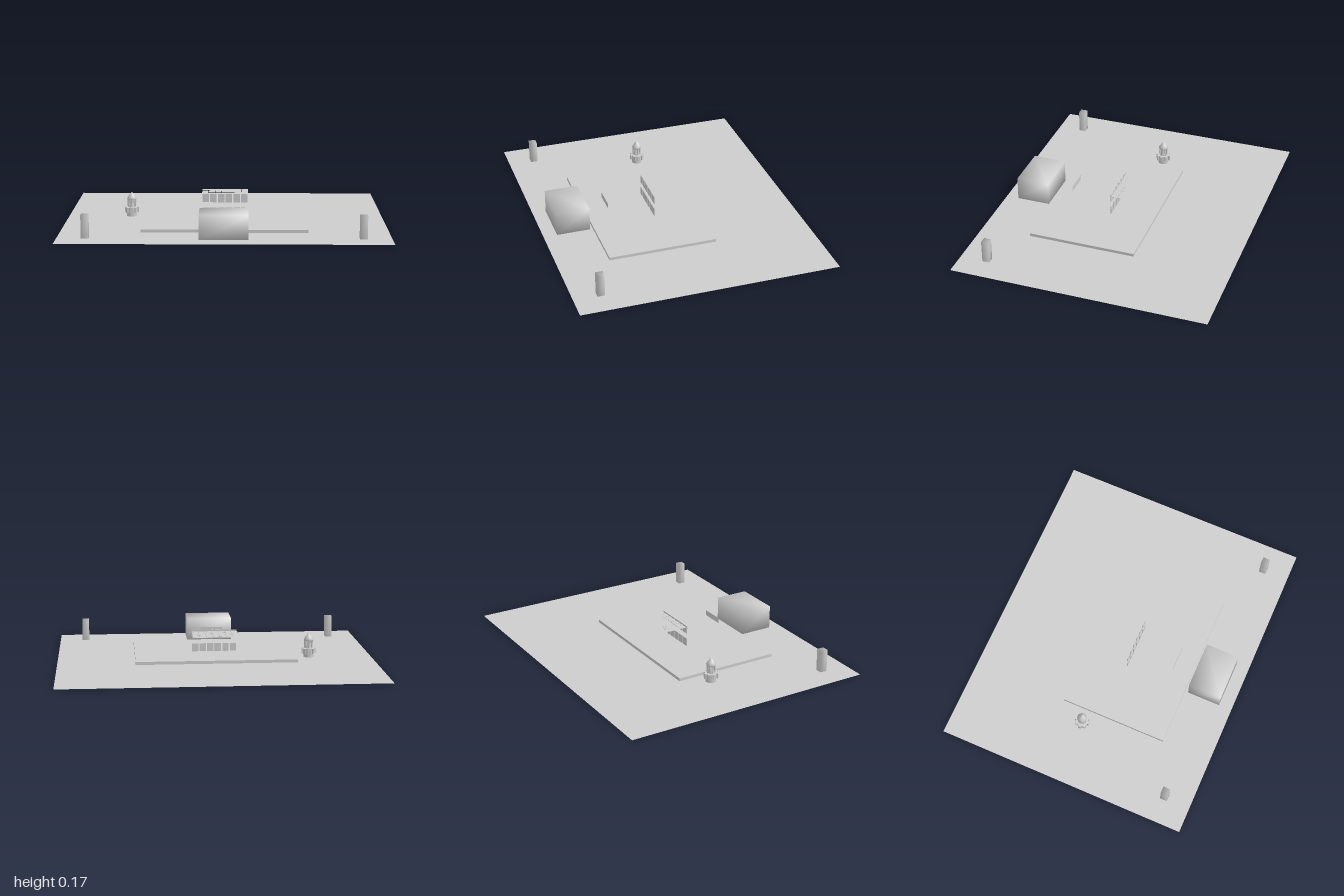
import * as THREE from 'three';
import { mergeVertices } from 'three/addons/utils/BufferGeometryUtils.js';

const grey = new THREE.MeshStandardMaterial({ color: 0xcccccc, side: THREE.DoubleSide });
grey.name = 'light grey';

function part(parent, name, geometry, x = 0, y = 0, z = 0) {
  const mesh = new THREE.Mesh(geometry, grey);
  mesh.name = name;
  mesh.position.set(x, y, z);
  parent.add(mesh);
  return mesh;
}

// Box whose corners share averaged normals
function softBox(w, h, d) {
  const g = new THREE.BoxGeometry(w, h, d);
  g.deleteAttribute('normal');
  g.deleteAttribute('uv');
  const merged = mergeVertices(g);
  merged.computeVertexNormals();
  return merged;
}

function flatPlane(w, d) {
  return new THREE.PlaneGeometry(w, d).rotateX(-Math.PI / 2);
}

// Lobed ornament: foot, ring with eight lobes, leaning ribs and pointed cap
function createOrnament() {
  const group = new THREE.Group();
  group.name = 'ornament';
  part(group, 'foot', new THREE.CylinderGeometry(0.033, 0.033, 0.025, 16), 0, 0.0155, 0);
  part(group, 'ring', new THREE.CylinderGeometry(0.038, 0.038, 0.034, 16), 0, 0.043, 0);
  part(group, 'core', new THREE.CylinderGeometry(0.015, 0.024, 0.06, 12), 0, 0.088, 0);
  for (let i = 0; i < 8; i++) {
    const spoke = new THREE.Group();
    spoke.name = 'spoke';
    spoke.rotation.y = (i * Math.PI) / 4;
    part(spoke, 'lobe', new THREE.BoxGeometry(0.01, 0.034, 0.018), 0.04, 0.043, 0);
    const rib = part(spoke, 'rib', new THREE.CylinderGeometry(0.006, 0.003, 0.06, 6), 0.024, 0.089, 0);
    rib.rotation.x = i % 2 ? 0.12 : -0.12;
    group.add(spoke);
  }
  const profile = [[0, 0.108], [0.026, 0.108], [0.031, 0.116], [0.022, 0.132], [0.009, 0.149], [0, 0.157]];
  part(group, 'cap', new THREE.LatheGeometry(profile.map(([r, y]) => new THREE.Vector2(r, y)), 16));
  return group;
}

export function createModel() {
  const model = new THREE.Group();
  model.name = 'courtyard';

  // Ground and raised terrace
  part(model, 'ground', flatPlane(2, 1.61), 0, 0.003, 0);
  part(model, 'terrace', new THREE.BoxGeometry(1.02, 0.019, 0.68), 0, 0.0125, 0.148);

  // Main block and gate posts
  part(model, 'block', softBox(0.295, 0.15, 0.212), -0.002, 0.085, 0.615);
  for (const side of [-1, 1]) {
    part(model, 'post', softBox(0.045, 0.145, 0.045), side * 0.83, 0.0725, 0.637);
  }

  // Two rows of window panes
  for (const y of [0.052, 0.139]) {
    for (let i = 0; i < 6; i++) {
      part(model, 'windowPane', new THREE.BoxGeometry(0.041, 0.052, 0.005), -0.1245 + i * 0.049, y, 0.086);
    }
  }

  // Thin roof panels laid as a grid
  const columns = 7, rows = 5;
  const w = 0.295 / columns, d = 0.212 / rows;
  for (let i = 0; i < columns; i++) {
    for (let j = 0; j < rows; j++) {
      part(model, 'roofPanel', flatPlane(w - 0.002, d - 0.002),
        -0.1495 + (i + 0.5) * w, 0.157, -0.13 + (j + 0.5) * d);
    }
  }

  // Hanging plate
  part(model, 'plate', new THREE.PlaneGeometry(0.15, 0.035), 0, 0.11, 0.37);

  const ornament = createOrnament();
  ornament.position.set(-0.6, 0, -0.025);
  model.add(ornament);

  return model;
}
